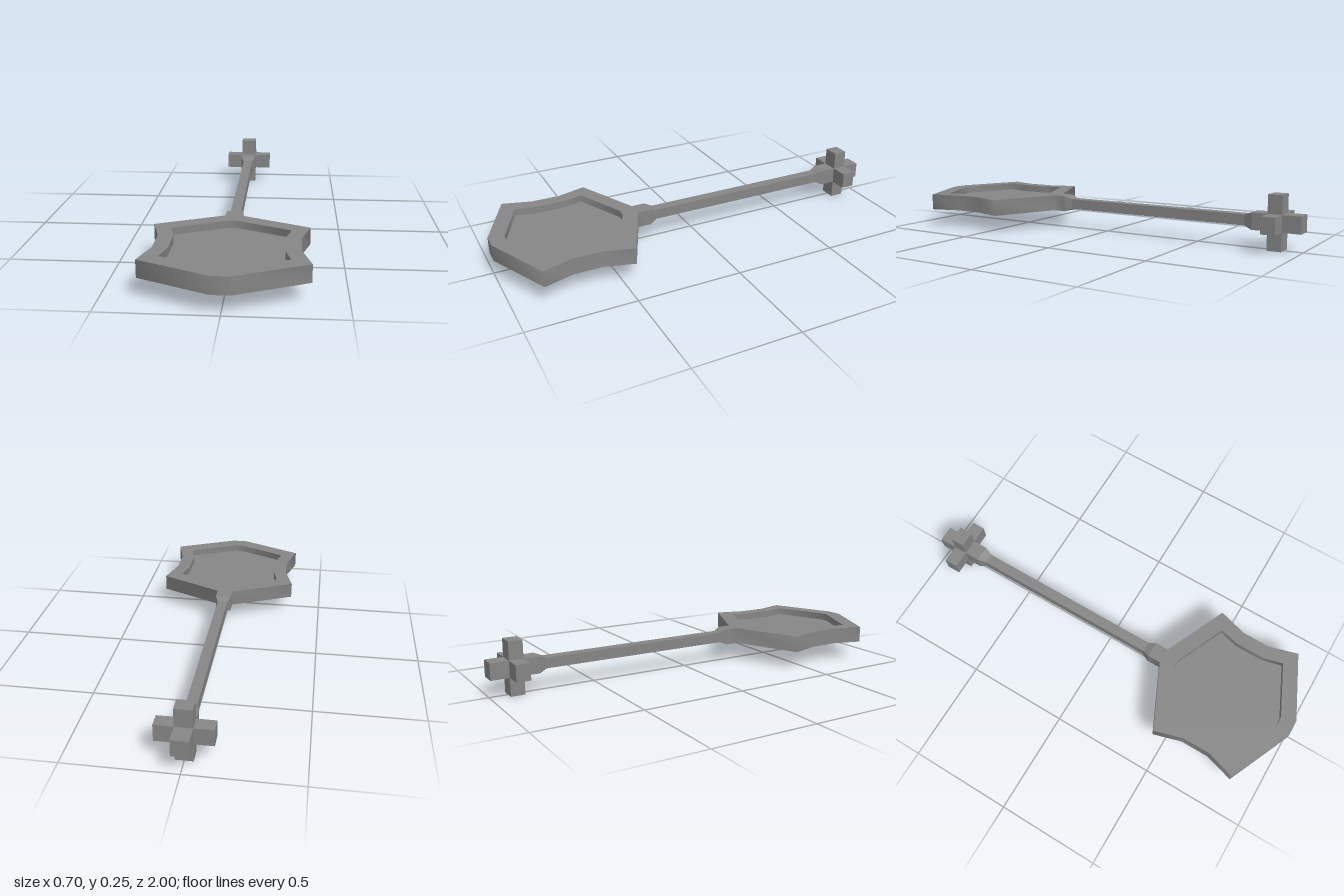
import * as THREE from 'three';
import { toCreasedNormals } from 'three/addons/utils/BufferGeometryUtils.js';

const CY = 0.125; // height of the centre plane
const CZ = 0.65; // centre of the paddle head
const HALF = 0.039; // half thickness of the head, neck and pommel bars
const NECK_Z = 0.235; // where the neck starts to taper into the handle

// Full clockwise outline from one quadrant, given as [x, z offset from the head centre]
function outline(quadrant) {
  const back = [...quadrant].reverse();
  return [
    ...quadrant,
    ...back.map(([x, z]) => [x, -z]),
    ...quadrant.map(([x, z]) => [-x, -z]),
    ...back.map(([x, z]) => [-x, z]),
  ].map(([x, z]) => new THREE.Vector2(x, z + CZ));
}

// Flat plate lying level, centred on CY; its side walls are smooth, its faces sharp
function plate(shape, depth) {
  const geo = new THREE.ExtrudeGeometry(shape, { depth, bevelEnabled: false });
  geo.translate(0, 0, -depth / 2).rotateX(Math.PI / 2).translate(0, CY, 0);
  return toCreasedNormals(geo, 1.5);
}

export function createModel() {
  const group = new THREE.Group();
  const material = new THREE.MeshStandardMaterial({ color: 0x868686 });
  const add = (name, geo) => {
    const mesh = new THREE.Mesh(geo, material);
    mesh.name = name;
    group.add(mesh);
    return mesh;
  };

  // Head: thick rim with a short neck at the back
  const outer = outline([[HALF, 0.35], [0.348, 0.21], [0.307, 0.07]]);
  outer.splice(6, 0, new THREE.Vector2(HALF, NECK_Z), new THREE.Vector2(-HALF, NECK_Z));
  const inner = outline([[0.02, 0.278], [0.264, 0.168], [0.24, 0.072]]);
  const rim = new THREE.Shape(outer);
  rim.holes.push(new THREE.Path([...inner].reverse()));
  add('headRim', plate(rim, HALF * 2));

  // Thin panel recessed from both sides
  add('headPanel', plate(new THREE.Shape(inner), 0.008));

  // Square handle, [half width, z], thicker at both ends
  const profile = [
    [0, -1], [HALF, -1], [HALF, -0.775], [0.025, -0.738],
    [0.025, 0.2], [HALF, NECK_Z],
  ].map(([h, z]) => new THREE.Vector2(h * Math.SQRT2, z));
  const handle = new THREE.LatheGeometry(profile, 4, Math.PI / 4);
  handle.rotateX(Math.PI / 2).translate(0, CY, 0);
  add('handle', toCreasedNormals(handle, 0.3));

  // Crossing bars on the pommel
  add('pommelCrossbar', new THREE.BoxGeometry(0.25, HALF * 2, 0.066)).position.set(0, CY, -0.881);
  add('pommelUpright', new THREE.BoxGeometry(HALF * 2, 0.25, 0.066)).position.set(0, CY, -0.881);

  return group;
}
